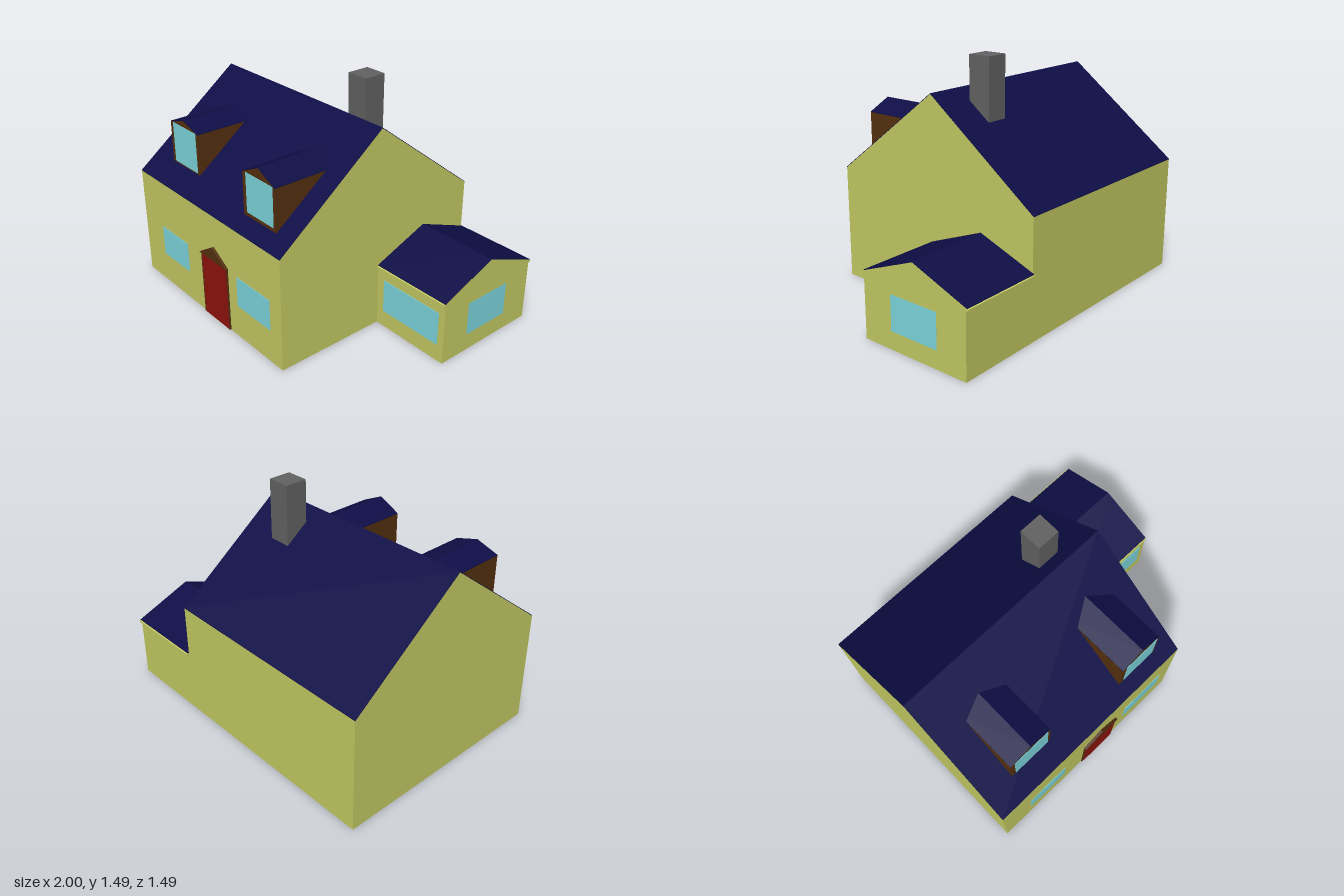
import * as THREE from 'three';

const mat = (color) => new THREE.MeshStandardMaterial({ color });
const SKIN = 0.004; // thickness of the roof covering

// Closed outline pushed along +z from z0 to z1
function extrudeZ(points, z0, z1) {
  const shape = new THREE.Shape(points.map(([x, y]) => new THREE.Vector2(x, y)));
  return new THREE.ExtrudeGeometry(shape, { depth: z1 - z0, bevelEnabled: false }).translate(0, 0, z0);
}

// Outline given as (z, y), running along x from x0 to x1
function extrudeX(points, x0, x1) {
  return extrudeZ(points, 0, x1 - x0).rotateY(-Math.PI / 2).translate(x1, 0, 0);
}

// Box given by its limits
function box(x0, x1, y0, y1, z0, z1) {
  return new THREE.BoxGeometry(x1 - x0, y1 - y0, z1 - z0)
    .translate((x0 + x1) / 2, (y0 + y1) / 2, (z0 + z1) / 2);
}

// Gabled wall outline, and the thin covering lying on its slopes
const gable = (a, b, base, eave, peak) =>
  [[a, base], [b, base], [b, eave], [(a + b) / 2, peak], [a, eave]];
const covering = (a, b, eave, peak) => {
  const m = (a + b) / 2;
  return [[a, eave], [m, peak], [b, eave], [b, eave + SKIN], [m, peak + SKIN], [a, eave + SKIN]];
};

export function createModel() {
  const house = new THREE.Group();
  house.name = 'house';
  const wall = mat(0xc4ca63), roof = mat(0x0e0e47), wood = mat(0x55300f);
  const glass = mat(0x7dd7de), red = mat(0x8f120e), stone = mat(0x626262);
  const add = (name, geometry, material, parent = house) => {
    const mesh = new THREE.Mesh(geometry, material);
    mesh.name = name;
    parent.add(mesh);
  };

  // Main house
  add('mainWalls', extrudeX(gable(-0.73, 0.73, 0, 0.727, 1.286), -1, 0.46), wall);
  add('mainRoof', extrudeX(covering(-0.73, 0.73, 0.727, 1.286), -1, 0.46), roof);
  add('chimney', box(0.08, 0.225, 1.0, 1.49, -0.23, -0.085), stone);

  // Side extension, with its roof slab overhanging front and back
  add('extensionWalls', box(0.46, 1, 0, 0.395, -0.73, 0), wall);
  add('extensionRoofSlab', extrudeX(gable(-0.745, 0.01, 0.39, 0.402, 0.55), 0.46, 1), wall);
  add('extensionRoof', extrudeX(covering(-0.738, 0.003, 0.405, 0.55), 0.46, 1), roof);
  add('extensionFrontWindow', box(0.515, 0.955, 0.11, 0.325, -0.01, 0.004), glass);
  add('extensionSideWindow', box(0.99, 1.001, 0.11, 0.325, -0.53, -0.2), glass);

  // Ground floor windows
  add('frontWindowRight', box(-0.785, -0.49, 0.205, 0.405, 0.72, 0.733), glass);
  add('frontWindowLeft', box(0.04, 0.355, 0.22, 0.42, 0.72, 0.733), glass);

  // Front door, its frame and the small pediment above
  add('doorFrame', box(-0.325, -0.05, 0, 0.435, 0.72, 0.737), wood);
  add('door', box(-0.31, -0.06, 0.003, 0.435, 0.72, 0.74), red);
  add('doorPediment', extrudeZ([[-0.328, 0.432], [-0.047, 0.432], [-0.188, 0.52]], 0.72, 0.748), wood);

  // Dormers run back until their ridge meets the main roof
  const dormers = [
    { name: 'rightDormer', x0: -0.8, x1: -0.5, base: 0.827, eave: 1.096, peak: 1.142, front: 0.6, win: [-0.77, -0.52, 0.84, 1.1] },
    { name: 'leftDormer', x0: 0.025, x1: 0.32, base: 0.8, eave: 1.068, peak: 1.138, front: 0.645, win: [0.058, 0.302, 0.825, 1.073] },
  ];
  for (const d of dormers) {
    const group = new THREE.Group();
    group.name = d.name;
    house.add(group);
    add('dormerWalls', extrudeZ(gable(d.x0, d.x1, d.base, d.eave, d.peak), 0.2, d.front), wood, group);
    add('dormerRoof', extrudeZ(covering(d.x0, d.x1, d.eave, d.peak), 0.19, d.front), roof, group);
    add('dormerWindow', box(...d.win, d.front - 0.01, d.front + 0.003), glass, group);
  }
  return house;
}
